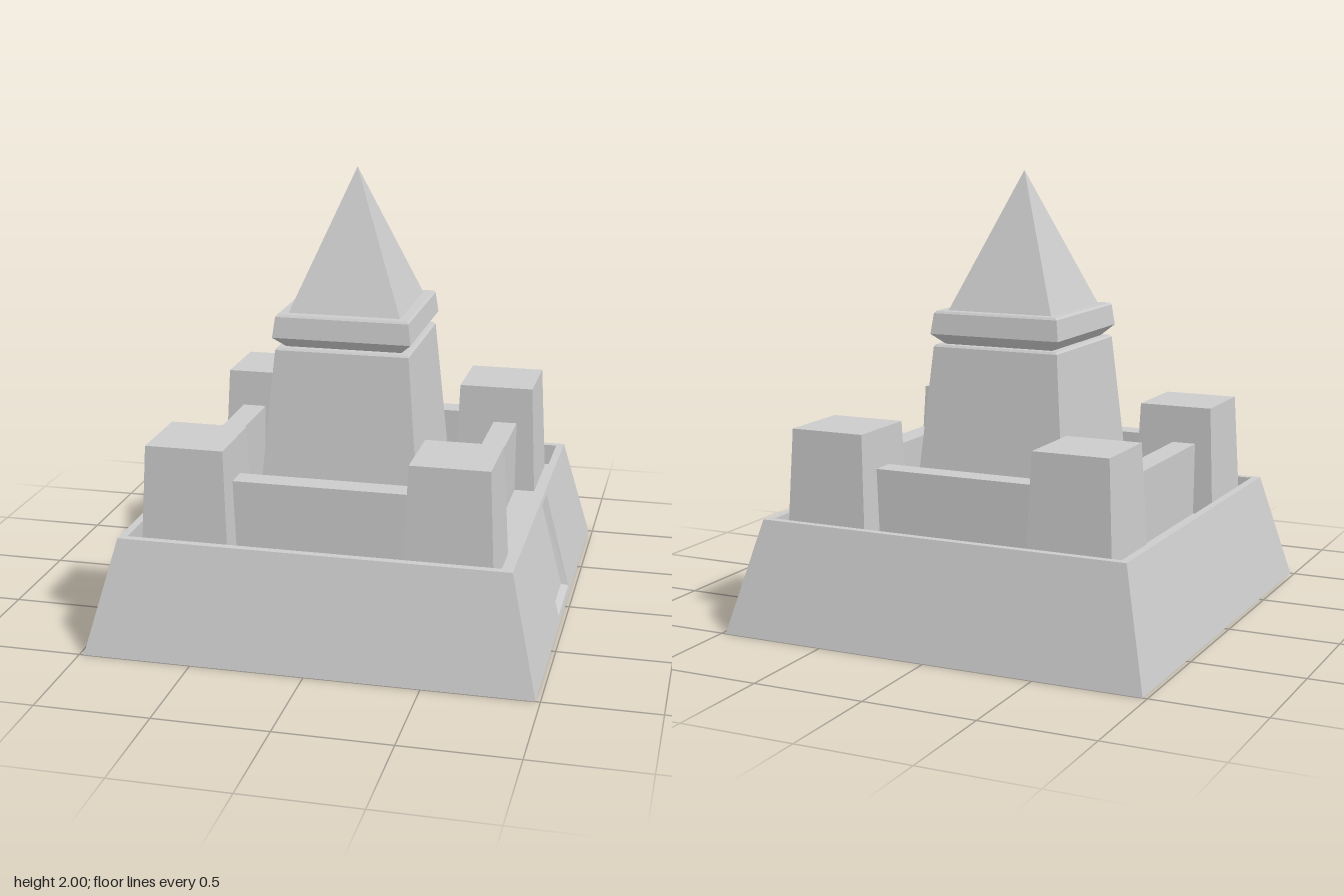
import * as THREE from 'three';

const material = new THREE.MeshStandardMaterial({ color: 0xcccccc, flatShading: true, side: THREE.DoubleSide });

function addMesh(parent, name, geometry) {
  const mesh = new THREE.Mesh(geometry, material);
  mesh.name = name;
  parent.add(mesh);
  return mesh;
}

// Flat quads, corners counter-clockwise from outside
function quadGeometry(quads) {
  const pos = [];
  for (const [a, b, c, d] of quads) pos.push(...a, ...b, ...c, ...a, ...c, ...d);
  const g = new THREE.BufferGeometry();
  g.setAttribute('position', new THREE.Float32BufferAttribute(pos, 3));
  g.computeVertexNormals();
  return g;
}

// Rectangular ring, half sizes hx and hz at height y, centred on cx, cz
const ring = (hx, hz, y, cx = 0, cz = 0) => [
  [cx + hx, y, cz + hz], [cx + hx, y, cz - hz], [cx - hx, y, cz - hz], [cx - hx, y, cz + hz],
];

// Joins rings from bottom to top; skip(level, side) leaves a face out (side 0 is +x)
function loft(rings, { top = false, bottom = false, skip = () => false } = {}) {
  const quads = [];
  for (let l = 0; l < rings.length - 1; l++) {
    for (let s = 0; s < 4; s++) {
      if (skip(l, s)) continue;
      const n = (s + 1) % 4;
      quads.push([rings[l][s], rings[l][n], rings[l + 1][n], rings[l + 1][s]]);
    }
  }
  if (top) quads.push(rings[rings.length - 1]);
  if (bottom) quads.push([...rings[0]].reverse());
  return quadGeometry(quads);
}

const FLOOR = 0.4;
const wallX = (y) => 0.98 - 0.25 * y;

export function createModel() {
  const model = new THREE.Group();
  model.name = 'fortress';

  // Sloping hollow base with rim and sunken courtyard; doorway side is separate
  addMesh(model, 'base', loft([
    ring(0.98, 1, 0), ring(0.855, 0.87, 0.5), ring(0.82, 0.835, 0.5), ring(0.82, 0.835, FLOOR),
  ], { skip: (l, s) => l === 0 && s === 0 }));

  // Doorway wall on the left side, u runs towards -z
  const points = (list) => list.map(([u, y]) => new THREE.Vector2(u, y));
  const doorOuter = [[-0.185, 0.03], [0.185, 0.03], [0.163, 0.48], [-0.163, 0.48]];
  const doorInner = [[-0.168, 0.04], [0.168, 0.04], [0.15, 0.455], [-0.15, 0.455]];
  const wallShape = new THREE.Shape(points([[-1, 0], [1, 0], [0.87, 0.5], [-0.87, 0.5]]));
  wallShape.holes.push(new THREE.Path(points(doorOuter)));
  const wall = new THREE.ShapeGeometry(wallShape);
  const p = wall.attributes.position;
  for (let i = 0; i < p.count; i++) {
    const u = p.getX(i), y = p.getY(i);
    p.setXYZ(i, wallX(y), y, -u);
  }
  wall.computeVertexNormals();
  addMesh(model, 'doorwayWall', wall);

  // Recessed door panel with its reveals
  const outer = doorOuter.map(([u, y]) => [wallX(y), y, -u]);
  const inner = doorInner.map(([u, y]) => [wallX(y) - 0.03, y, -u]);
  const doorQuads = [inner];
  for (let i = 0; i < 4; i++) {
    const n = (i + 1) % 4;
    doorQuads.push([outer[i], outer[n], inner[n], inner[i]]);
  }
  addMesh(model, 'door', quadGeometry(doorQuads));

  // Courtyard floor, open under the tower
  const rect = (hx, hz) => points([[-hx, -hz], [hx, -hz], [hx, hz], [-hx, hz]]);
  const floorShape = new THREE.Shape(rect(0.82, 0.835));
  floorShape.holes.push(new THREE.Path(rect(0.374, 0.39)));
  const floor = new THREE.ShapeGeometry(floorShape).rotateX(-Math.PI / 2).translate(0, FLOOR, 0);
  addMesh(model, 'courtyardFloor', floor);

  // Four tapered corner turrets
  for (const sx of [-1, 1]) {
    for (const sz of [-1, 1]) {
      addMesh(model, 'cornerTurret', loft([
        ring(0.195, 0.197, FLOOR - 0.02, sx * 0.575, sz * 0.612),
        ring(0.172, 0.177, 0.9, sx * 0.573, sz * 0.612),
      ], { top: true, bottom: true }));
    }
  }

  // Curtain walls between the turrets
  const wallHeight = 0.73 - FLOOR;
  for (const s of [-1, 1]) {
    addMesh(model, 'curtainWall', new THREE.BoxGeometry(0.8, wallHeight, 0.11))
      .position.set(0, FLOOR + wallHeight / 2, s * 0.62);
    addMesh(model, 'curtainWall', new THREE.BoxGeometry(0.11, wallHeight, 0.865))
      .position.set(s * 0.62, FLOOR + wallHeight / 2, 0);
  }

  // Central tower with neck and flared cornice
  addMesh(model, 'tower', loft([
    ring(0.374, 0.39, FLOOR), ring(0.3, 0.313, 1.225), ring(0.292, 0.305, 1.235),
    ring(0.26, 0.272, 1.235), ring(0.31, 0.325, 1.283), ring(0.298, 0.313, 1.375),
    ring(0.29, 0.305, 1.385),
  ], { top: true }));

  // Pyramid spire
  addMesh(model, 'spire', loft([ring(0.25, 0.263, 1.385), ring(0, 0, 2)]));

  return model;
}
